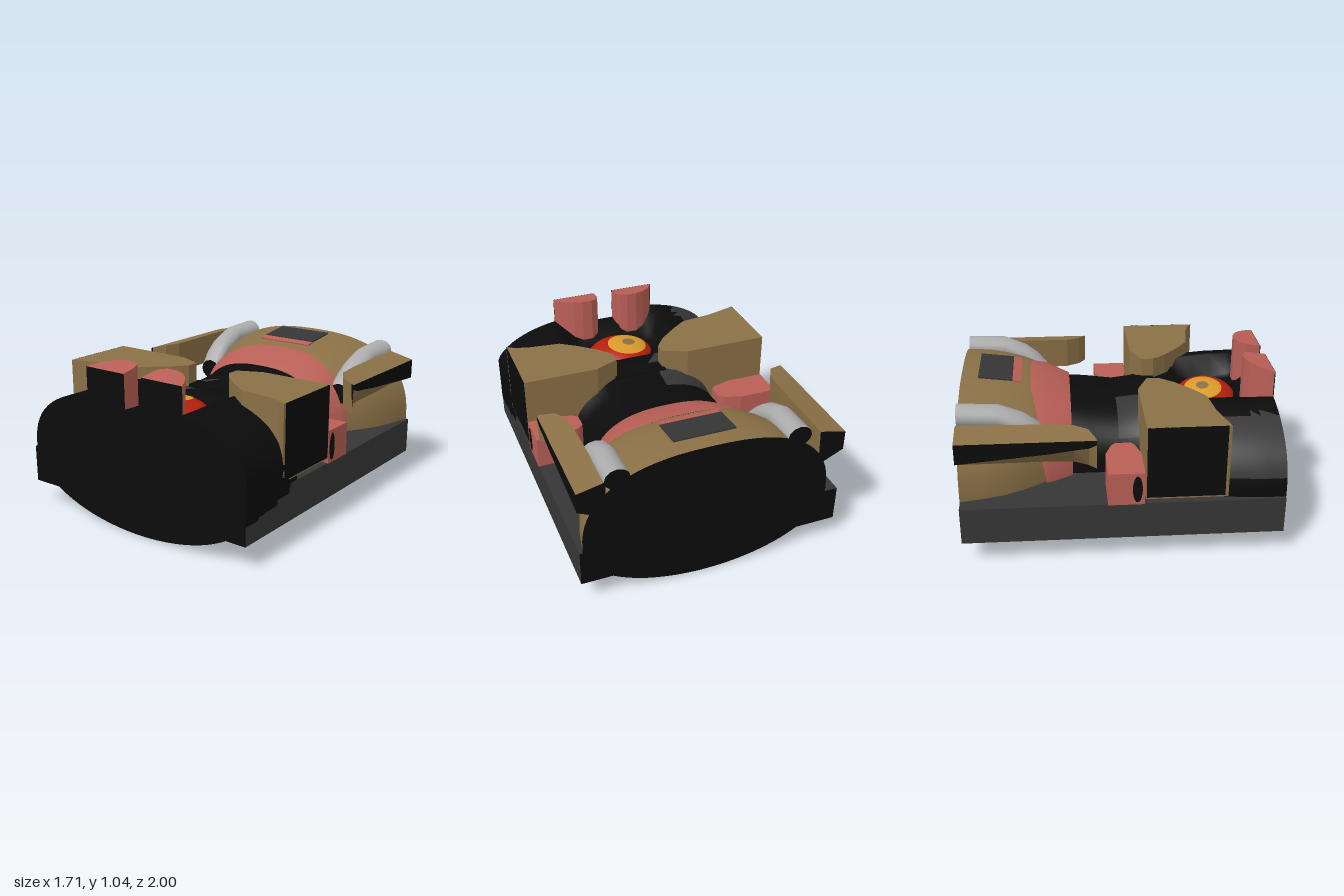
import * as THREE from 'three';

const mat = (name, color, side = THREE.FrontSide) => {
  const m = new THREE.MeshStandardMaterial({ color, side });
  m.name = name;
  return m;
};
const CX = 0.035; // centre line of the bodies
const EDGE = 0.855; // flat outer sides

// Skin rings (ordered by rising z, anticlockwise seen from +z); faces go to
// material group pick(x, y, z), end caps to group 1.
function loft(rings, { flat = false, pick = () => 0 } = {}) {
  const n = rings[0].length, pos = rings.flat(2), lists = [[], [], []];
  const tri = (a, b, c) => {
    const mid = k => (pos[a * 3 + k] + pos[b * 3 + k] + pos[c * 3 + k]) / 3;
    lists[pick(mid(0), mid(1), mid(2))].push(a, b, c);
  };
  for (let i = 0; i < rings.length - 1; i++)
    for (let j = 0; j < n; j++) {
      const a = i * n + j, b = i * n + (j + 1) % n;
      tri(a, b, b + n);
      tri(a, b + n, a + n);
    }
  [[rings[0], true], [rings[rings.length - 1], false]].forEach(([ring, back]) => {
    const base = pos.length / 3;
    pos.push(...ring.flat());
    pos.push(...[0, 1, 2].map(k => ring.reduce((s, p) => s + p[k], 0) / n));
    for (let j = 0; j < n; j++) {
      const a = base + j, b = base + (j + 1) % n;
      lists[1].push(base + n, back ? b : a, back ? a : b);
    }
  });
  let g = new THREE.BufferGeometry();
  g.setAttribute('position', new THREE.Float32BufferAttribute(pos, 3));
  g.setIndex(lists.flat());
  let start = 0;
  lists.forEach((l, i) => { if (l.length) g.addGroup(start, l.length, i); start += l.length; });
  if (flat) g = g.toNonIndexed();
  g.computeVertexNormals();
  return g;
}

// Fuller upper half, elliptical lower half
function bodyRing(z, hw, top, bottom, { mid = 0.41, lean = 0, notch = 9 } = {}) {
  const ring = [], n = 72;
  for (let i = 0; i < n; i++) {
    const t = (i / n) * Math.PI * 2, c = Math.cos(t), s = Math.sin(t);
    const p = s > 0 ? 2 / 2.5 : 1;
    const dx = Math.sign(c) * Math.abs(c) ** p * hw;
    let y = s > 0 ? mid + (top - mid) * s ** p : mid + (mid - bottom) * s;
    if (Math.abs(dx) < 0.31) y = Math.min(y, notch);
    const zz = z - lean * Math.max(0, (y - mid) / (top - mid));
    ring.push([Math.max(-EDGE, Math.min(EDGE, CX + dx)), y, zz]);
  }
  return ring;
}

const mirrorRing = (ring, c = 0) => ring.map(([x, y, z]) => [2 * c - x, y, z]).reverse();

// Upright prism from a plan outline of [x, z] points
function prism(points, y0, y1) {
  const shape = new THREE.Shape(points.map(([x, z]) => new THREE.Vector2(x, -z)));
  const g = new THREE.ExtrudeGeometry(shape, { depth: y1 - y0, bevelEnabled: false });
  return g.rotateX(-Math.PI / 2).translate(0, y0, 0);
}

export function createModel() {
  const root = new THREE.Group();
  const black = mat('black', 0x0b0b0b), gray = mat('dark gray', 0x363636);
  const tan = mat('tan', 0x8a7046), pink = mat('dusty pink', 0xb85f56);
  const silver = mat('silver', 0xacacac), red = mat('red', 0xb81f0c);
  const gold = mat('gold', 0xd99a2b);
  const add = (name, geo, m, parent = root) => {
    const mesh = new THREE.Mesh(geo, m);
    mesh.name = name;
    parent.add(mesh);
    return mesh;
  };
  const box = (name, w, h, d, x, y, z, m) => {
    const b = add(name, new THREE.BoxGeometry(w, h, d), m);
    b.position.set(x, y, z);
    return b;
  };

  // Base slab with dark ends and underside
  box('baseSlab', 1.706, 0.24, 1.996, 0, 0.27, 0, [gray, gray, gray, black, black, black]);

  // Hull: narrow waist swelling into the front dome, sunken along the centre
  const hull = [
    [-0.4, 0.49, 0.8, 0.12], [-0.2, 0.49, 0.785, 0.13], [0, 0.49, 0.755, 0.13],
    [0.13, 0.5, 0.77, 0.12], [0.3, 0.65, 0.8, 0.08, 0.76], [0.42, 0.78, 0.83, 0.055, 0.76],
    [0.47, 0.815, 0.845, 0.045, 0.71], [0.57, 0.835, 0.855, 0.025, 0.7],
    [0.7, 0.855, 0.86, 0.01, 0.7], [0.82, 0.865, 0.86, 0, 0.72],
    [0.88, 0.87, 0.86, 0, 0.785], [1, 0.87, 0.86, 0, 0.79],
  ].map(([z, hw, t, b, notch]) => bodyRing(z, hw, t, b, { mid: 0.4, notch }));
  const hullPatch = (x, y, z) => {
    if (y < 0.5) return 0;
    if (z > 0.5) return x < -0.5 ? 2 : 0;
    return z > 0 && x < -0.1 && x > -0.4 ? 2 : 0;
  };
  add('hull', loft(hull, { pick: hullPatch }), [black, black, gray]);

  // Rear body
  const rear = [
    [-1, 0.8, 0.95, 0.004], [-0.85, 0.77, 0.948, 0.004], [-0.72, 0.73, 0.93, 0.006],
    [-0.6, 0.67, 0.905, 0.02], [-0.48, 0.59, 0.865, 0.07], [-0.36, 0.5, 0.79, 0.12],
  ].map(a => bodyRing(...a));
  add('rearBody', loft(rear), [tan, black]);

  // Sloping collar around the front of the rear body
  const collar = [
    bodyRing(-0.47, 0.6, 0.893, 0.085, { lean: 0.09 }),
    bodyRing(-0.43, 0.59, 0.875, 0.09, { lean: 0.03 }),
    bodyRing(-0.3, 0.51, 0.805, 0.12),
  ];
  add('collar', loft(collar), [pink, black]);

  // Hatches on the rear body
  const hatch = box('topHatch', 0.4, 0.009, 0.22, 0.03, 0.943, -0.78, gray);
  hatch.rotation.x = 0.12;
  const lip = box('hatchLip', 0.4, 0.009, 0.055, 0.03, 0.921, -0.645, pink);
  lip.rotation.x = 0.2;
  box('bottomHatch', 0.3, 0.006, 0.2, CX, 0.004, -0.84, gray);

  // Silver shoulder rails
  const rail = [[-1, 0.61, 0.87], [-0.75, 0.61, 0.86], [-0.6, 0.605, 0.8], [-0.52, 0.6, 0.74], [-0.45, 0.59, 0.66]]
    .map(([z, x, y]) => Array.from({ length: 12 }, (_, i) => {
      const t = (i / 12) * Math.PI * 2;
      return [x + 0.08 * Math.cos(t), y + 0.07 * Math.sin(t), z];
    }));
  add('leftRail', loft(rail), [silver, black]);
  add('rightRail', loft(rail.map(r => mirrorRing(r, CX))), [silver, black]);

  // Rear side fins, cut flat on the outside
  const fin = [
    [-1, 0.68, 0.87, 0.7], [-0.45, 0.69, 0.865, 0.75], [-0.3, 0.7, 0.86, 0.77], [-0.21, 0.75, 0.855, 0.78], [-0.165, 0.84, 0.835, 0.8],
  ].map(([z, x, top, low]) => [[x, top, z], [x + 0.01, 0.65, z], [Math.min(x + 0.05, 0.85), 0.64, z], [EDGE, low, z], [EDGE, 0.83, z]]);
  const finCut = x => (Math.abs(x) > EDGE - 0.001 ? 1 : 0);
  const finRear = (x, y, z) => (z < -0.999 ? 1 : finCut(x));
  add('leftFin', loft(fin, { flat: true, pick: finRear }), [tan, black]);
  add('rightFin', loft(fin.map(r => mirrorRing(r)), { flat: true, pick: finRear }), [tan, black]);

  // Side blocks, arms and front pods, once for each side
  for (const s of [1, -1]) {
    const side = s > 0 ? 'left' : 'right';
    const flip = pts => pts.map(([x, z]) => [
      Math.abs(x) >= EDGE ? s * EDGE : CX + s * (x - CX), z]);

    const block = [[EDGE, 0.13], [0.36, 0.13], [0.2, 0.2], [0.2, 0.28], [0.27, 0.37], [0.4, 0.48], [0.5, 0.55], [0.71, 0.575], [0.8, 0.6], [EDGE, 0.635]];
    add(side + 'Block', prism(flip(s > 0 ? block : [...block].reverse()), 0.42, 0.9), tan);
    box(side + 'BlockEnd', 0.004, 0.47, 0.48, s * 0.8535, 0.665, 0.375, black).position.x = s * 0.8545;

    const arm = [[EDGE, -0.1], [0.67, -0.1], [0.56, -0.06], [0.525, -0.03], [0.525, 0.07], [0.56, 0.095], [0.67, 0.125], [EDGE, 0.125]];
    add(side + 'Arm', prism(flip(arm), 0.385, 0.6), pink);
    const socket = add(side + 'ArmSocket', new THREE.CylinderGeometry(1, 1, 0.004, 20), black);
    socket.rotation.z = Math.PI / 2;
    socket.scale.set(0.09, 1, 0.03);
    socket.position.set(s * 0.8545, 0.49, 0.08);

    const pod = [[0.105, 0.998], [0.107, 0.9], [0.125, 0.855], [0.17, 0.832], [0.24, 0.832], [0.3, 0.855], [0.35, 0.895], [0.39, 0.95], [0.41, 0.998]];
    const podGeo = prism(flip(pod), 0.7, 1.01);
    const p = podGeo.attributes.position;
    for (let i = 0; i < p.count; i++) // top rises towards the back
      if (p.getY(i) > 0.9) p.setY(i, 1.01 + (1 - p.getZ(i)) * 0.176);
    podGeo.computeVertexNormals();
    add(side + 'Pod', podGeo, pink);
    box(side + 'PodFront', 0.305, 0.31, 0.005, CX + s * 0.2225, 0.855, 0.9975, black);
  }
  box('blockBridge', 0.36, 0.2, 0.11, CX, 0.675, 0.225, black);

  // Round button with an off-centre gold cap and a small tan nub
  const button = new THREE.Group();
  button.name = 'button';
  button.position.set(CX, 0.68, 0.62);
  button.scale.set(0.235, 0.115, 0.205);
  root.add(button);
  add('buttonDome', new THREE.SphereGeometry(1, 40, 24), red, button);
  const cap = (name, r, angle, m) => {
    const c = add(name, new THREE.SphereGeometry(r, 32, 10, 0, Math.PI * 2, 0, angle), m, button);
    c.rotation.set(-0.15, 0, 0.24);
  };
  cap('buttonCap', 1.015, 0.65, gold);
  cap('buttonNub', 1.03, 0.2, tan);

  return root;
}
